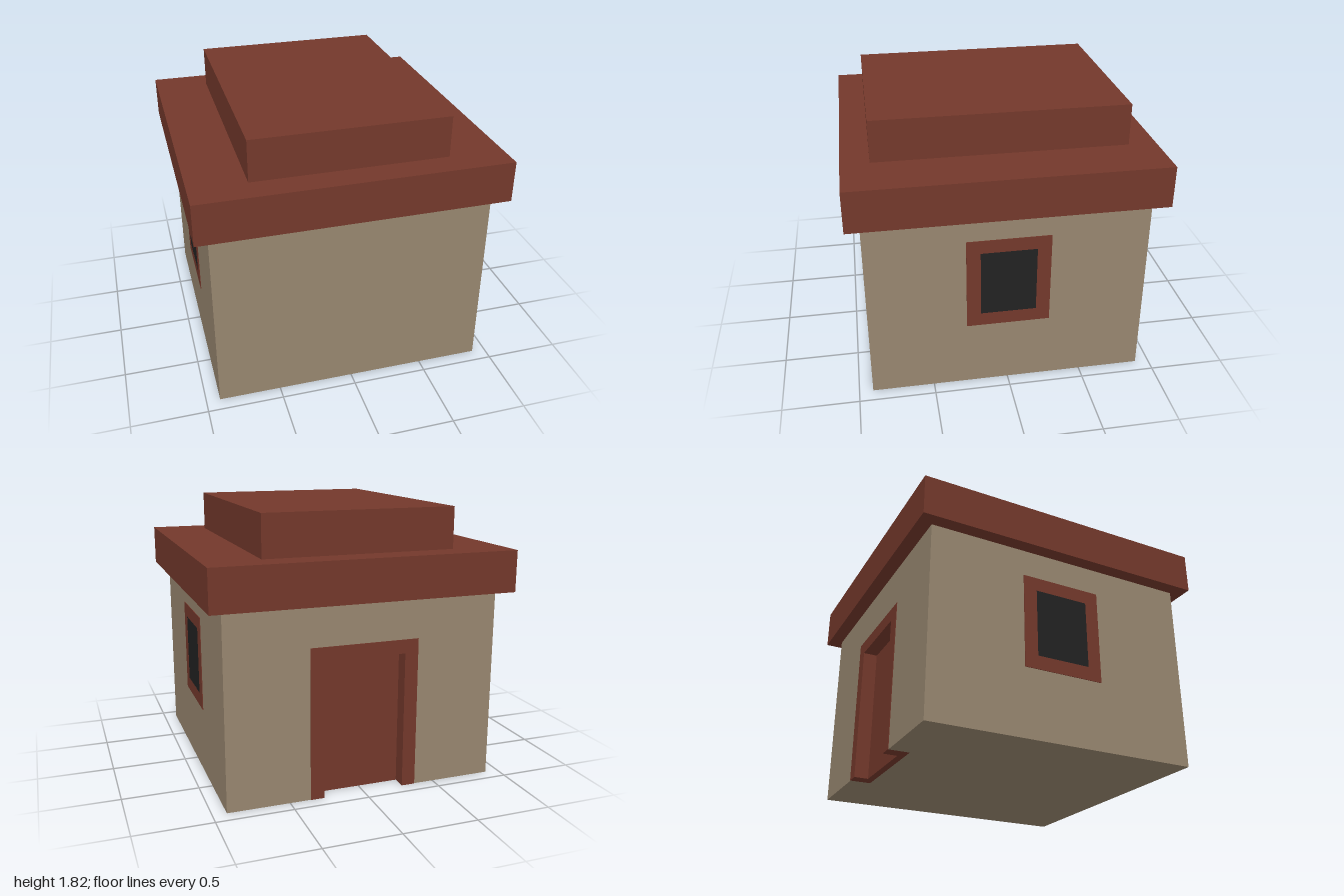
import * as THREE from 'three';

const U = 1 / 11; // building module: the roof is 22 units wide

export function createModel() {
  const house = new THREE.Group();
  house.name = 'house';

  const material = (name, color) => {
    const m = new THREE.MeshStandardMaterial({ color });
    m.name = name;
    return m;
  };
  const plaster = material('plaster', 0x97866f);
  const brick = material('redBrown', 0x73382b);
  const glass = material('darkGlass', 0x222222);

  const add = (parent, name, geometry, mat) => {
    const mesh = new THREE.Mesh(geometry, mat);
    mesh.name = name;
    parent.add(mesh);
    return mesh;
  };

  // Box given by its extents, in modules
  const block = (parent, name, mat, [x0, x1], [y0, y1], [z0, z1]) => {
    const g = new THREE.BoxGeometry((x1 - x0) * U, (y1 - y0) * U, (z1 - z0) * U);
    g.translate((x0 + x1) * U / 2, (y0 + y1) * U / 2, (z0 + z1) * U / 2);
    return add(parent, name, g, mat);
  };

  const polygon = (points) =>
    new THREE.Shape(points.map(([x, y]) => new THREE.Vector2(x * U, y * U)));
  const rect = (x0, y0, x1, y1) => [[x0, y0], [x1, y0], [x1, y1], [x0, y1]];

  // Walls: lower footprint is notched at the back for the doorway
  const doorBack = -8.5;
  const footprint = polygon([
    [-10, -10], [10, -10], [10, 10], [4, 10], [4, -doorBack],
    [-4, -doorBack], [-4, 10], [-10, 10],
  ]);
  const lower = new THREE.ExtrudeGeometry(footprint, { depth: 11 * U, bevelEnabled: false });
  lower.rotateX(-Math.PI / 2);
  add(house, 'lowerWalls', lower, plaster);
  block(house, 'upperWalls', plaster, [-10, 10], [11, 14], [-10, 10]);

  // Stepped flat roof
  block(house, 'roofSlab', brick, [-11, 11], [14, 17], [-11, 11]);
  block(house, 'roofCap', brick, [-7, 7], [17, 20], [-9, 9]);

  // Recessed door with its frame, on the back wall
  const doorway = new THREE.Group();
  doorway.name = 'doorway';
  house.add(doorway);
  const frameZ = [-10.04, doorBack];
  block(doorway, 'leftJamb', brick, [3, 4], [0, 10], frameZ);
  block(doorway, 'rightJamb', brick, [-4, -3], [0, 10], frameZ);
  block(doorway, 'lintel', brick, [-4, 4], [10, 11], frameZ);
  block(doorway, 'doorPanel', brick, [-3, 3], [0, 10], [-9, doorBack]);

  // One framed window on each side wall
  for (const side of [1, -1]) {
    const window = new THREE.Group();
    window.name = side > 0 ? 'leftWindow' : 'rightWindow';
    window.position.x = side * 10 * U;
    window.rotation.y = side * Math.PI / 2;
    house.add(window);

    const frame = polygon(rect(-3, 5, 3, 12));
    frame.holes.push(polygon(rect(-2, 6, 2, 11)));
    add(window, 'windowFrame',
      new THREE.ExtrudeGeometry(frame, { depth: 0.004, bevelEnabled: false }), brick);
    block(window, 'windowPane', glass, [-2, 2], [6, 11], [0, 0.04]);
  }

  return house;
}
